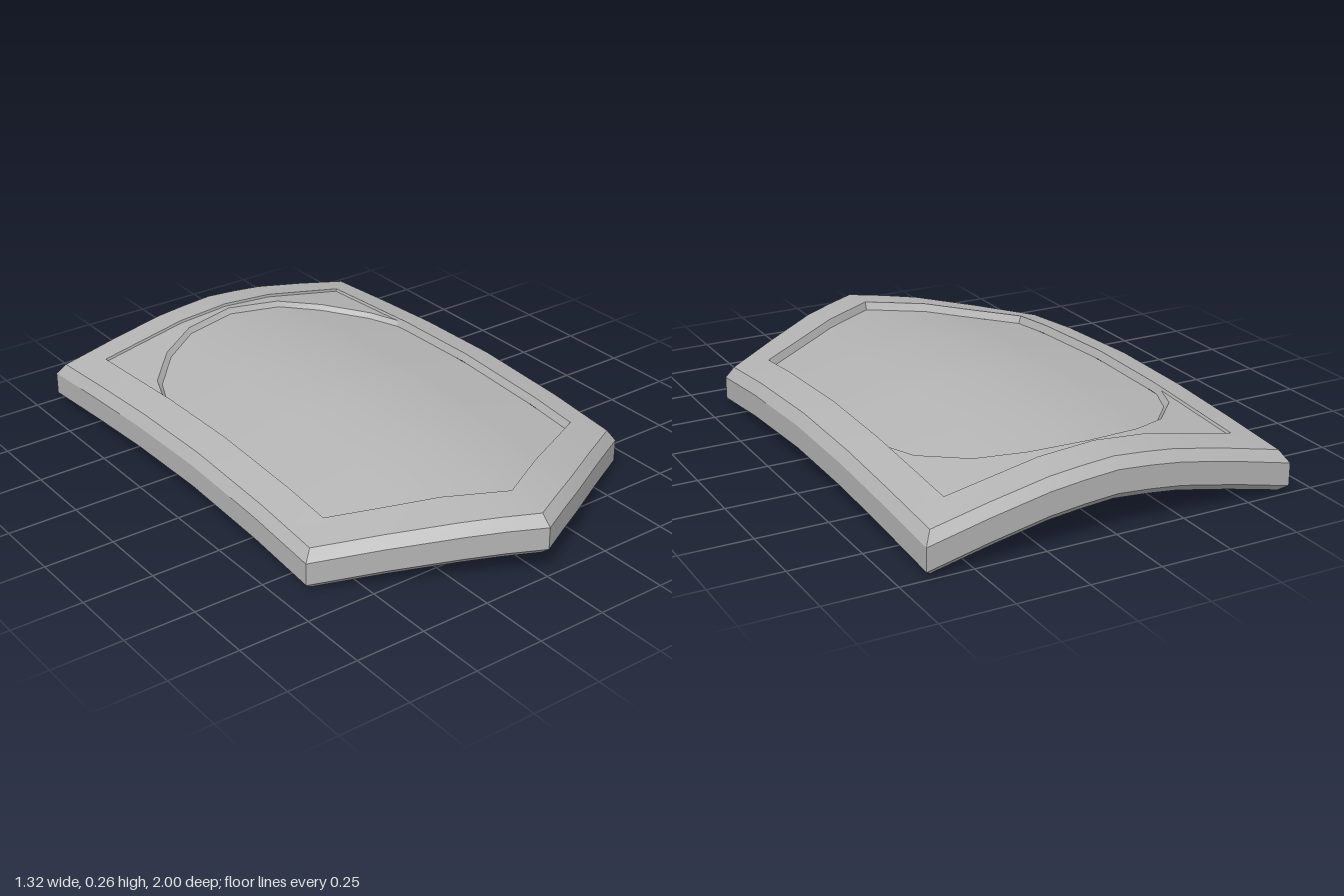
import * as THREE from 'three';
import { toCreasedNormals } from 'three/addons/utils/BufferGeometryUtils.js';

// Piecewise linear curve through [position, value] pairs
function along(keys, t) {
  for (let i = 1; i < keys.length; i++) {
    const [a, va] = keys[i - 1], [b, vb] = keys[i];
    if (t <= b || i === keys.length - 1) return va + (vb - va) * (t - a) / (b - a);
  }
}

// Bowed shield surface: arched across the width and along the length
const ACROSS = [[0, 0.295], [0.2, 0.28], [0.53, 0.215], [0.66, 0.1825]];
const LENGTH = [[-1, -0.043], [-0.85, -0.03], [-0.4, -0.005], [-0.05, 0], [0.33, -0.02], [0.6, -0.047], [1, -0.08]];
const height = (x, z) => along(ACROSS, Math.abs(x)) + along(LENGTH, z);
const place = (points, offset) => points.map(([x, z]) => new THREE.Vector3(x, height(x, z) + offset, z));

// Insert evenly spaced points on each segment
function subdivide(points, n) {
  const out = [];
  for (let i = 0; i < points.length - 1; i++) {
    const [a, b] = [points[i], points[i + 1]];
    for (let k = 0; k < n; k++) out.push([a[0] + (b[0] - a[0]) * k / n, a[1] + (b[1] - a[1]) * k / n]);
  }
  out.push(points[points.length - 1]);
  return out;
}

// Closed shield outline, starting at the middle of the back edge
function outline(w, back, corner, shoulder, tip) {
  const half = [[0, back], [shoulder[0], back], [w, back], [w, -0.4], [w, -0.05], [w, 0.33],
    [w, corner], shoulder, [0, tip]];
  const mirrored = half.slice(0, -1).reverse().map(([x, z]) => [-x, z]);
  return subdivide([...half, ...mirrored], 2);
}

// Skin joining consecutive rows of points
function skin(rows, flip = false) {
  const v = [];
  const tri = (a, b, c) => (flip ? [a, c, b] : [a, b, c]).forEach(p => v.push(p.x, p.y, p.z));
  for (let j = 0; j < rows.length - 1; j++) {
    const [a, b] = [rows[j], rows[j + 1]];
    for (let i = 0; i < a.length - 1; i++) {
      tri(a[i], b[i], a[i + 1]);
      tri(a[i + 1], b[i], b[i + 1]);
    }
  }
  const g = new THREE.BufferGeometry();
  g.setAttribute('position', new THREE.Float32BufferAttribute(v, 3));
  return toCreasedNormals(g, 0.3);
}

// Mirror a half row (x from 0 outwards) into a full row from -x to +x
const fullRow = half => subdivide([...half.slice(1).reverse().map(([x, z]) => [-x, z]), ...half], 2);

// Recessed panel with an arched back end and slightly raised corners
function panel(cornerOffset, panelOffset, flip) {
  const back = fullRow([0, 0.2, 0.35, 0.48, 0.53].map(x => [x, -0.855]));
  const arch = fullRow([[0, -0.83], [0.2, -0.795], [0.35, -0.71], [0.48, -0.565], [0.525, -0.45]]);
  const archLow = fullRow([[0, -0.815], [0.2, -0.782], [0.34, -0.698], [0.465, -0.557], [0.515, -0.44]]);
  const front = fullRow([0, 0.2, 0.34, 0.465, 0.515].map(x => [x, 0.805 - 0.29 * x / 0.515]));
  const rows = [place(back, cornerOffset), place(arch, cornerOffset)];
  const steps = 14;
  for (let j = 0; j <= steps; j++) {
    const t = j / steps;
    rows.push(place(archLow.map(([x, z], i) => [x + (front[i][0] - x) * t, z + (front[i][1] - z) * t]), panelOffset));
  }
  return skin(rows, flip);
}

export function createModel() {
  const group = new THREE.Group();
  const grey = new THREE.MeshStandardMaterial({ color: 0xb4b4b4 });
  grey.name = 'grey';
  const add = (name, geometry, parent = group) => {
    const mesh = new THREE.Mesh(geometry, grey);
    mesh.name = name;
    parent.add(mesh);
    return mesh;
  };

  // Bevelled rim, from the inner underside round the edge to the inner top
  const inner = outline(0.527, -0.855, 0.52, [0.2, 0.704], 0.815);
  const step = outline(0.515, -0.85, 0.515, [0.2, 0.692], 0.805);
  const outer = outline(0.66, -1, 0.612, [0.24, 0.87], 1);
  const rim = skin([
    place(step, -0.11),
    place(inner, -0.14),
    place(outline(0.635, -0.975, 0.6, [0.235, 0.845], 0.97), -0.14),
    place(outer, -0.112),
    place(outer, -0.032),
    place(outline(0.633, -0.97, 0.595, [0.23, 0.84], 0.962), 0),
    place(inner, 0),
    place(step, -0.03),
  ]);
  add('rim', rim);

  // Face panel and the matching underside
  add('topPanel', panel(-0.01, -0.03, false));
  add('undersidePanel', panel(-0.13, -0.11, true));

  // Two grips with flanged feet on the underside
  const profile = new THREE.Shape([[0.045, 0.172], [0.035, 0.04], [0.025, 0.015], [-0.145, 0.022], [-0.325, 0.015],
    [-0.332, 0.045], [-0.345, 0.172], [-0.305, 0.172], [-0.29, 0.06], [-0.145, 0.065], [-0.01, 0.06], [0.005, 0.172]]
    .map(p => new THREE.Vector2(...p)));
  for (const side of [1, -1]) {
    const grip = new THREE.Group();
    grip.name = side > 0 ? 'leftGrip' : 'rightGrip';
    grip.position.x = 0.217 * side;
    const bar = new THREE.ExtrudeGeometry(profile, { depth: 0.042, bevelEnabled: false });
    bar.translate(0, 0, -0.021).rotateY(-Math.PI / 2);
    add('gripBar', bar, grip);
    for (const z of [0.025, -0.325]) {
      add('gripFoot', new THREE.BoxGeometry(0.058, 0.022, 0.065), grip).position.set(0, 0.158, z);
    }
    group.add(grip);
  }
  return group;
}
